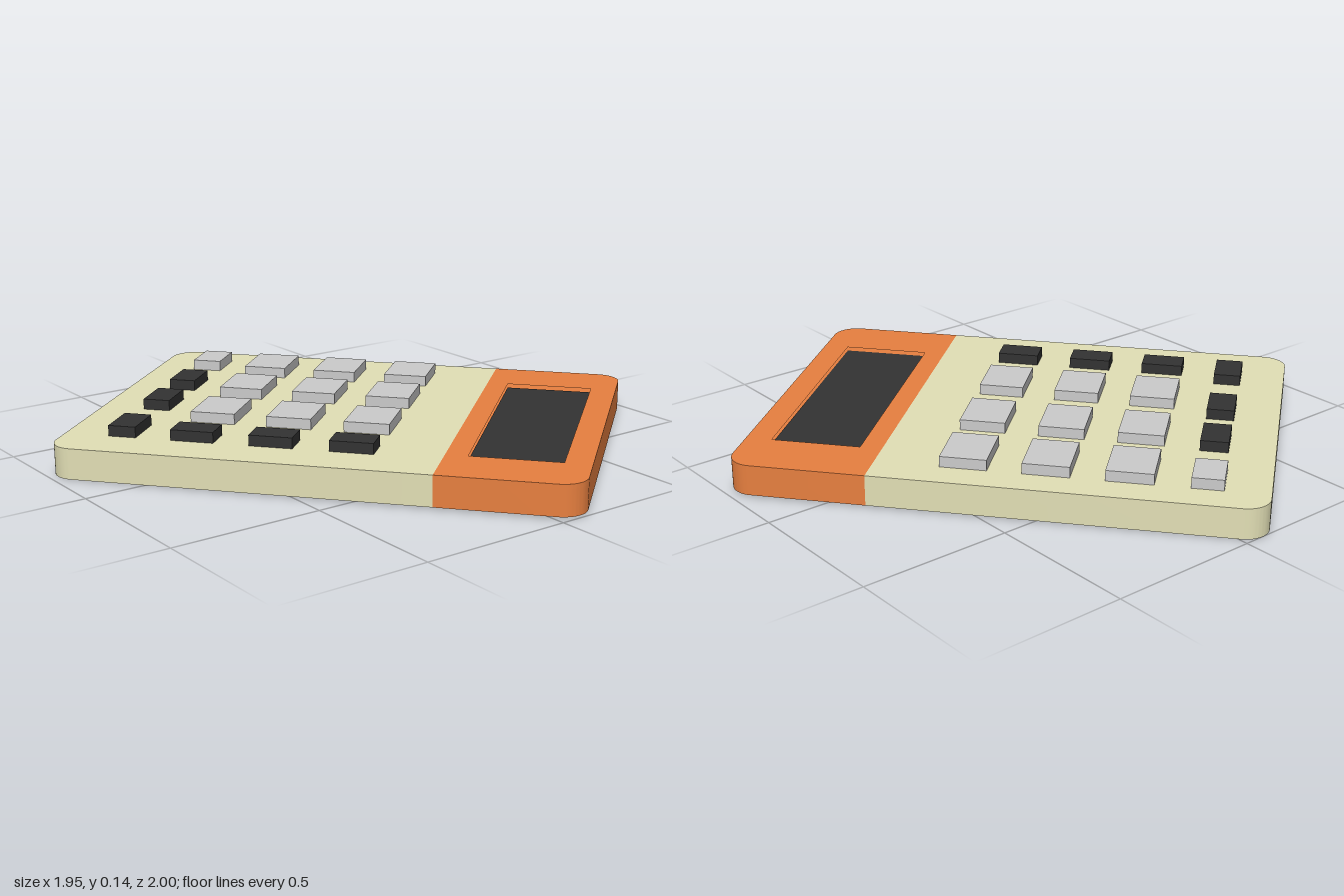
import * as THREE from 'three';
import { toCreasedNormals } from 'three/addons/utils/BufferGeometryUtils.js';

const HALF_W = 0.618, HALF_L = 0.83, R = 0.08, SPLIT = 0.384, TOP = 0.1, RECESS = 0.085;

const mat = (color) => new THREE.MeshStandardMaterial({ color });

// Outline in plan (shape y = -z): square edge at z = zCut, rounded corners at z = zEnd
function halfOutline(zCut, zEnd) {
  const a = -zCut, b = -zEnd, s = Math.sign(b - a);
  const shape = new THREE.Shape();
  shape.moveTo(-HALF_W, a);
  shape.lineTo(HALF_W, a);
  shape.lineTo(HALF_W, b - s * R);
  shape.absarc(HALF_W - R, b - s * R, R, 0, s * Math.PI / 2, s < 0);
  shape.absarc(-HALF_W + R, b - s * R, R, s * Math.PI / 2, s * Math.PI, s < 0);
  shape.closePath();
  return shape;
}

// Extrude a plan outline upwards from y0 to y1
function slab(name, shape, y0, y1, material) {
  const geo = new THREE.ExtrudeGeometry(shape, { depth: y1 - y0, bevelEnabled: false, curveSegments: 10 });
  geo.rotateX(-Math.PI / 2);
  geo.translate(0, y0, 0);
  const mesh = new THREE.Mesh(toCreasedNormals(geo, 0.6), material);
  mesh.name = name;
  return mesh;
}

export function createModel() {
  const cream = mat(0xe3e0b6), orange = mat(0xe88040), grey = mat(0xbcbcbc), dark = mat(0x333333);
  const calculator = new THREE.Group();
  calculator.name = 'calculator';

  // Body: cream keypad half and orange display half
  calculator.add(slab('keypadBody', halfOutline(SPLIT, -HALF_L), 0, TOP, cream));
  calculator.add(slab('displayBody', halfOutline(SPLIT, HALF_L), 0, RECESS, orange));

  // Orange frame with a window around the recessed display
  const frame = halfOutline(SPLIT, HALF_L);
  const hole = new THREE.Path();
  hole.moveTo(-0.418, -0.455);
  hole.lineTo(0.418, -0.455);
  hole.lineTo(0.418, -0.745);
  hole.lineTo(-0.418, -0.745);
  hole.closePath();
  frame.holes.push(hole);
  calculator.add(slab('displayFrame', frame, RECESS, TOP, orange));

  const screen = new THREE.Mesh(new THREE.BoxGeometry(0.836, 0.004, 0.29), dark);
  screen.name = 'displayScreen';
  screen.position.set(0, RECESS, 0.6);
  calculator.add(screen);

  // Keys
  const keys = new THREE.Group();
  keys.name = 'keys';
  const addKey = (name, x, z, w, d, material) => {
    const key = new THREE.Mesh(new THREE.BoxGeometry(w, 0.045, d), material);
    key.name = name;
    key.position.set(x, TOP + 0.0125, z);
    keys.add(key);
  };
  const rows = [-0.407, -0.152, 0.104];
  for (const z of rows) {
    for (const x of [0.419, 0.134, -0.17]) addKey('numberKey', x, z, 0.187, 0.148, grey);
    addKey('sideOperatorKey', -0.423, z, 0.09, 0.14, dark);
  }
  for (const x of [0.168, -0.087, -0.396]) addKey('operatorKey', x, -0.638, 0.142, 0.09, dark);
  addKey('clearKey', 0.441, -0.64, 0.142, 0.099, grey);
  calculator.add(keys);

  // Turned on the table, with the display end lifted very slightly
  calculator.rotation.set(-0.005, 0.6936, 0, 'YXZ');
  calculator.position.y = HALF_L * 0.005;

  const model = new THREE.Group();
  model.add(calculator);
  return model;
}
